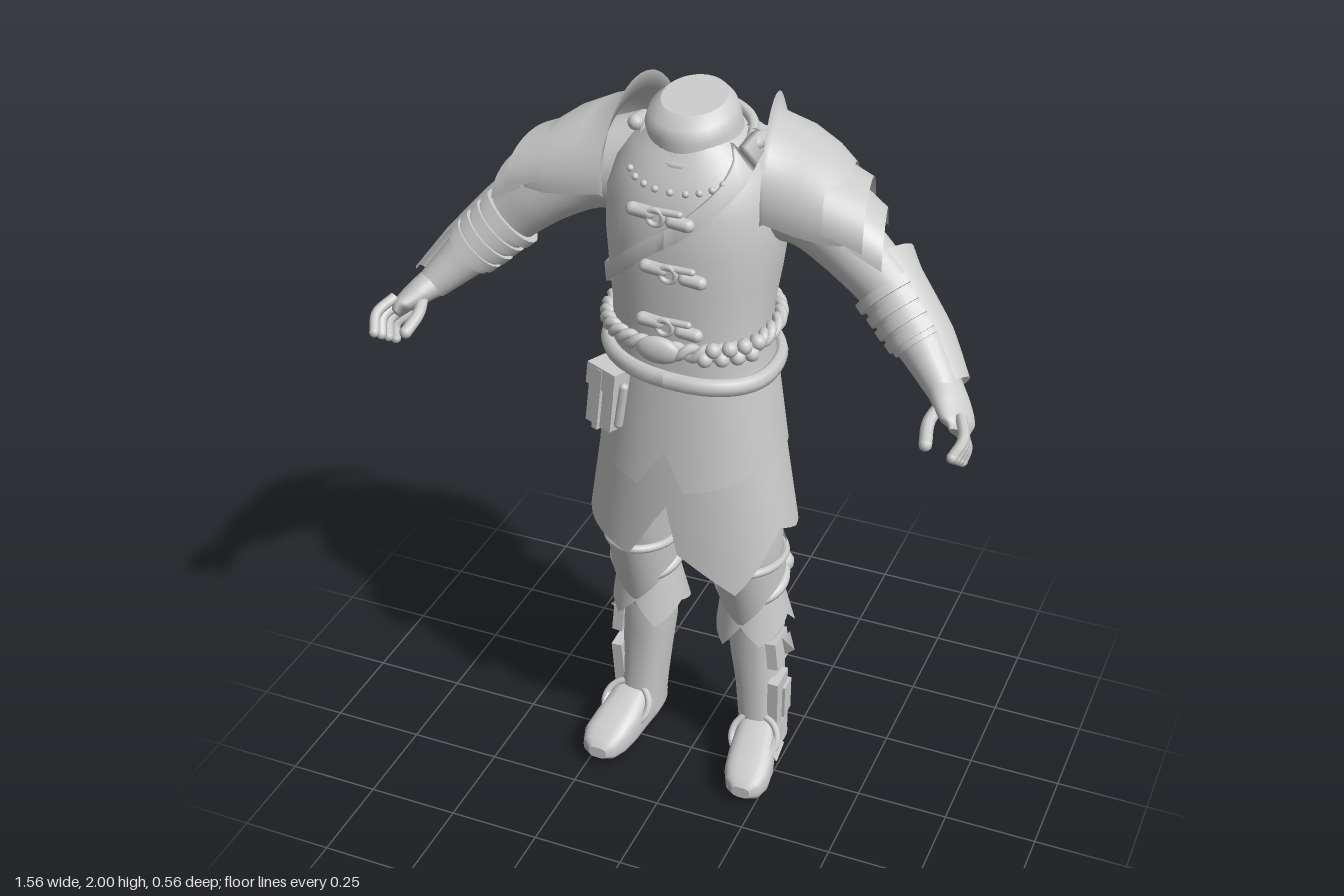
import * as THREE from 'three';

const V = (x, y, z) => new THREE.Vector3(x, y, z);
const { lerp } = THREE.MathUtils;
const grey = new THREE.MeshStandardMaterial({ color: 0xcbcbcb, side: THREE.DoubleSide });
grey.name = 'plain grey';

function add(parent, name, geo, x = 0, y = 0, z = 0, rx = 0, ry = 0, rz = 0) {
  const m = new THREE.Mesh(geo, grey);
  m.name = name;
  m.position.set(x, y, z);
  m.rotation.set(rx, ry, rz);
  parent.add(m);
  return m;
}

// Skin over a list of rings; closed rings wrap round, caps close both ends
function loft(rings, closed = true, caps = false) {
  const n = rings[0].length, pos = [], idx = [];
  rings.forEach(r => r.forEach(p => pos.push(p.x, p.y, p.z)));
  for (let i = 0; i < rings.length - 1; i++)
    for (let j = 0; j < (closed ? n : n - 1); j++) {
      const a = i * n + j, b = i * n + (j + 1) % n;
      idx.push(a, b, b + n, a, b + n, a + n);
    }
  if (caps) [0, rings.length - 1].forEach(k => {
    const base = pos.length / 3, c = V(0, 0, 0);
    rings[k].forEach(p => { c.add(p); pos.push(p.x, p.y, p.z); });
    c.divideScalar(n);
    pos.push(c.x, c.y, c.z);
    for (let j = 0; j < n; j++) {
      const a = base + j, b = base + (j + 1) % n;
      k ? idx.push(a, b, base + n) : idx.push(b, a, base + n);
    }
  });
  const g = new THREE.BufferGeometry();
  g.setAttribute('position', new THREE.Float32BufferAttribute(pos, 3));
  g.setIndex(idx);
  g.computeVertexNormals();
  return g;
}

const soft = (c, p) => Math.sign(c) * Math.abs(c) ** p;

// Horizontal ring: angle 0 faces the front, 90 degrees faces +x
const hoop = ([y, cx, cz, rx, rz], n = 40, p = 1, tilt = 0) => Array.from({ length: n }, (_, j) => {
  const a = j / n * Math.PI * 2, z = rz * soft(Math.cos(a), p);
  return V(cx + rx * soft(Math.sin(a), p), y + tilt * z, cz + z);
});

// Limb along a path of [x, y, z, r1, r2]; from/to (degrees) gives a part shell
function limb(keys, { from = 0, to = 360, n = 24, steps = 6, grow = 0 } = {}) {
  const curve = new THREE.CatmullRomCurve3(keys.map(k => V(k[0], k[1], k[2])));
  const whole = to - from === 360, total = (keys.length - 1) * steps, rings = [];
  for (let i = 0; i <= total; i++) {
    const k = Math.min(Math.floor(i / steps), keys.length - 2), f = i / steps - k;
    const c = curve.getPoint(i / total), t = curve.getTangent(i / total);
    const u = t.clone().cross(V(0, 0, 1)).normalize(), v = t.clone().cross(u);
    const r1 = lerp(keys[k][3], keys[k + 1][3], f) + grow, r2 = lerp(keys[k][4], keys[k + 1][4], f) + grow;
    rings.push(Array.from({ length: whole ? n : n + 1 }, (_, j) => {
      const a = (from + (to - from) * j / n) * Math.PI / 180;
      return c.clone().addScaledVector(u, r1 * Math.cos(a)).addScaledVector(v, r2 * Math.sin(a));
    }));
  }
  return loft(rings, whole, whole);
}

// Open cloth shell whose hem follows [degrees, y] keys
function cloth(top, low, hem, p = 0.9, rows = 5) {
  const n = 72, rings = [];
  const hemAt = d => {
    const k = Math.max(0, hem.findIndex((h, i) => i < hem.length - 1 && d <= hem[i + 1][0]));
    return lerp(hem[k][1], hem[k + 1][1], (d - hem[k][0]) / (hem[k + 1][0] - hem[k][0]));
  };
  for (let i = 0; i <= rows; i++) rings.push(Array.from({ length: n }, (_, j) => {
    const a = j / n * Math.PI * 2, y = lerp(hemAt(j * 5), top[0], i / rows);
    const f = (top[0] - y) / (top[0] - low[0]), m = top.map((t, q) => lerp(t, low[q], f));
    return V(m[1] + m[3] * soft(Math.sin(a), p), y, m[2] + m[4] * soft(Math.cos(a), p));
  }));
  return loft(rings);
}

const tube = (pts, r, closed = false, seg = 40) =>
  new THREE.TubeGeometry(new THREE.CatmullRomCurve3(pts, closed), seg, r, 8, closed);

// Torso rings: height, half width, front z, back z
const TORSO = [[1.27, .212, .16, -.195], [1.36, .203, .158, -.188], [1.45, .2, .158, -.192], [1.55, .212, .163, -.228],
  [1.65, .222, .163, -.248], [1.75, .22, .155, -.255], [1.82, .2, .125, -.248], [1.87, .16, .095, -.215], [1.905, .105, .07, -.15]];
function torsoRow(y) {
  const k = Math.min(Math.max(0, TORSO.findIndex((t, i) => i < TORSO.length - 1 && y <= TORSO[i + 1][0])), TORSO.length - 2);
  return TORSO[k].map((v, q) => lerp(v, TORSO[k + 1][q], (y - TORSO[k][0]) / (TORSO[k + 1][0] - TORSO[k][0])));
}
function onTorso(a, y, off) {
  const [, rx, f, b] = torsoRow(y);
  return V((rx + off) * soft(Math.sin(a), .88), y, (f + b) / 2 + ((f - b) / 2 + off) * soft(Math.cos(a), .88));
}
const around = (n, fn) => Array.from({ length: n }, (_, i) => fn(i / n * Math.PI * 2));

function buildBody(g) {
  add(g, 'torso', loft(TORSO.map(([y, rx, f, b]) => hoop([y, 0, (f + b) / 2, rx, (f - b) / 2], 48, .88)), true, true));
  add(g, 'neck', loft([[1.84, 0, -.05, .13, .13], [1.88, 0, -.04, .112, .122], [1.93, -.008, -.03, .115, .118],
    [1.96, -.008, -.03, .105, .108], [1.98, -.008, -.04, .08, .085]].map(h => hoop(h, 32, 1, -.2)), true, true));
  add(g, 'collar', tube(around(24, a => V(.13 * Math.sin(a), 1.885 - .03 * Math.cos(a), -.045 + .135 * Math.cos(a))), .014, true, 60));

  // Slit skirt in two tiers
  add(g, 'upperSkirt', cloth([1.33, 0, -.015, .208, .178], [1.0, 0, -.02, .25, .207],
    [[0, 1.11], [10, 1], [70, 1.06], [180, 1.045], [290, 1.05], [345, 1], [360, 1.11]]));
  add(g, 'lowerSkirt', cloth([1.12, 0, -.015, .232, .185], [.8, 0, -.02, .282, .195],
    [[0, .94], [5, .8], [35, .69], [65, .83], [75, .86], [95, .82], [175, .8], [180, 1], [185, .8], [290, .81], [340, .76], [360, .94]]));

  // Shoulder strap running round the chest and back
  const rings = around(72, a => {
    const y = 1.7 + .195 * Math.sin(a), e = .024;
    return [[-e, -.004], [-e, .012], [e, .012], [e, -.004]].map(([dy, off]) => onTorso(a, y + dy, off));
  });
  add(g, 'shoulderStrap', loft([...rings, rings[0]]));

  // Twisted rope belt and the lower sash
  [0, Math.PI].forEach(ph => add(g, 'ropeBelt', tube(around(144, a => {
    const w = a * 18 + ph;
    return onTorso(a, 1.415 - .012 * Math.cos(a) + .013 * Math.sin(w), .012 + .008 * Math.cos(w));
  }), .013, true, 288)));
  add(g, 'sash', loft(around(49, a => a * 49 / 48).map(a => {
    const c = onTorso(a, 1.325 - .022 * Math.sin(a) - .008 * Math.cos(a), .01);
    return around(8, b => V(c.x + .018 * Math.sin(a) * Math.cos(b), c.y + .025 * Math.sin(b), c.z + .018 * Math.cos(a) * Math.cos(b)));
  })));
  add(g, 'buckle', new THREE.SphereGeometry(1, 24, 16), -.015, 1.4, .175).scale.set(.058, .036, .022);
  for (let i = 0; i < 8; i++) {
    const p = onTorso(.42 + i * .1, 1.395 + (i % 2) * .025, .025);
    add(g, 'beltBead', new THREE.SphereGeometry(.02, 12, 8), p.x, p.y, p.z);
  }

  // Chest toggles
  [[1.755, -.012], [1.61, .02], [1.465, .01]].forEach(([y, x]) => {
    [-1, 1].forEach(s => add(g, 'toggleEnd', new THREE.CapsuleGeometry(.017, .04, 4, 10), x + s * .05, y - .008 * s, .165, 0, 0, Math.PI / 2 - .1));
    add(g, 'toggleBar', new THREE.CapsuleGeometry(.009, .1, 4, 8), x, y + .016, .168, 0, 0, Math.PI / 2);
    add(g, 'toggleLoop', new THREE.TorusGeometry(.02, .007, 8, 16), x - .01, y, .172);
  });
  for (let i = 0; i < 9; i++) {
    const p = onTorso((i - 4) * .15, 1.83 - .006 * (16 - (i - 4) ** 2) / 4, .003);
    add(g, 'neckStud', new THREE.SphereGeometry(.009, 8, 6), p.x, p.y, p.z);
  }

  // Belt pouch
  add(g, 'pouch', new THREE.BoxGeometry(.085, .15, .05), -.165, 1.22, .155, -.08, -.35, -.1);
  add(g, 'pouchFlap', new THREE.BoxGeometry(.095, .06, .062), -.158, 1.285, .155, -.08, -.35, -.1);
  add(g, 'pouchStrap', new THREE.BoxGeometry(.018, .17, .064), -.168, 1.225, .157, -.08, -.35, -.1);
  add(g, 'pouchCord', new THREE.CapsuleGeometry(.012, .11, 4, 8), -.115, 1.22, .18, 0, 0, -.15);
}

// Open arch over the shoulder, from front to back
function arch(sections, from = -8, to = 188) {
  return loft(sections.map(([x, cz, y, rz, ry]) => Array.from({ length: 29 }, (_, j) => {
    const b = (from + (to - from) * j / 28) * Math.PI / 180;
    return V(x + .03 * Math.cos(b), y + ry * Math.sin(b), cz + rz * Math.cos(b));
  })), false);
}

const ARM = [[.15, 1.76, -.09, .13, .12], [.29, 1.735, -.06, .105, .1], [.4, 1.665, -.03, .082, .08], [.5, 1.58, -.015, .072, .068],
  [.6, 1.48, .03, .062, .066], [.68, 1.4, .085, .042, .05]];
const FORE = ARM.slice(3);

function buildArm(g) {
  add(g, 'arm', limb(ARM));
  add(g, 'shoulderGuard', arch([[.172, -.1, 1.76, .175, .225], [.182, -.1, 1.76, .178, .175], [.26, -.1, 1.745, .182, .165],
    [.33, -.085, 1.735, .168, .145], [.38, -.07, 1.735, .15, .11]]));
  add(g, 'shoulderLame', arch([[.33, -.06, 1.748, .15, .118], [.43, -.055, 1.712, .142, .112]], 0, 180));
  add(g, 'lowerLame', arch([[.39, -.05, 1.705, .13, .115], [.475, -.045, 1.66, .118, .1]], 5, 175));
  add(g, 'shoulderKnob', new THREE.CapsuleGeometry(.02, .05, 4, 12), .153, 1.89, -.045, 1.4, 0, 0);

  // Forearm wraps and guard
  add(g, 'bracer', limb(FORE.slice(0, 2), { grow: .007 }));
  [[.02, .018], [.3, .015], [.55, .016], [.8, .014]].forEach(([f, grow]) => {
    const at = q => FORE[0].map((v, k) => lerp(v, FORE[1][k], q));
    add(g, 'bracerBand', limb([at(f - .07), at(f), at(f + .1)], { grow, steps: 3 }));
  });
  add(g, 'forearmGuard', limb([[.455, 1.62, -.04, .075, .1], ...FORE], { from: 65, to: 205, grow: .02 }));
  add(g, 'guardKnot', new THREE.SphereGeometry(.026, 12, 8), .555, 1.6, -.03);

  // Hand with thumb and four fingers
  add(g, 'palm', limb([[.67, 1.41, .075, .042, .048], [.705, 1.385, .115, .034, .055], [.735, 1.36, .155, .024, .056], [.745, 1.345, .175, .012, .04]]));
  for (let i = 0; i < 4; i++) {
    const f = i / 3, base = V(.745, 1.39, .17).lerp(V(.725, 1.325, .12), f), tip = V(.755, 1.335, .265).lerp(V(.755, 1.265, .165), f);
    const mid = base.clone().lerp(tip, .55).add(V(.018, .006, .004));
    add(g, 'finger', tube([base, mid, tip], .0135, false, 12));
    add(g, 'fingerTip', new THREE.SphereGeometry(.0135, 10, 8), tip.x, tip.y, tip.z);
  }
  add(g, 'thumb', tube([V(.69, 1.39, .12), V(.672, 1.365, .18), V(.682, 1.335, .235)], .016, false, 12));
  add(g, 'thumbTip', new THREE.SphereGeometry(.016, 10, 8), .682, 1.335, .235);
}

function buildLeg(g) {
  add(g, 'thigh', loft([[.42, .157, -.085, .065, .08], [.52, .155, -.07, .074, .08], [.6, .152, -.055, .082, .085],
    [.7, .15, -.035, .086, .115], [.8, .145, -.03, .092, .13], [1.0, .12, -.02, .1, .14]].map(h => hoop(h, 28)), true, true));
  add(g, 'bootShaft', loft([[.05, .187, -.085, .062, .075], [.15, .178, -.085, .062, .08], [.25, .17, -.09, .065, .077],
    [.36, .16, -.088, .07, .084], [.47, .157, -.085, .073, .086]].map(h => hoop(h, 28, .85)), true, true));

  // Foot: cross-sections from heel to toe of [z, centre x, half width, bottom, top]
  add(g, 'foot', loft([[-.162, .185, .035, .01, .1], [-.145, .185, .05, 0, .14], [-.08, .187, .058, 0, .17], [0, .193, .06, .008, .155],
    [.06, .203, .066, .012, .125], [.12, .212, .064, .015, .105], [.155, .215, .05, .02, .085], [.172, .215, .026, .03, .065]]
    .map(([z, cx, w, b, t]) => around(24, a => V(cx + w * soft(Math.cos(a), .65), (b + t) / 2 + (t - b) / 2 * soft(Math.sin(a), .65), z))), true, true));

  // Flared cuff, pointed knee guard and strap
  add(g, 'bootCuff', cloth([.6, .152, -.06, .08, .083], [.43, .155, -.082, .108, .122],
    [[0, .5], [30, .44], [60, .47], [90, .5], [120, .43], [240, .43], [280, .47], [330, .42], [360, .5]], 1));
  add(g, 'kneeGuard', cloth([.72, .15, -.035, .094, .135], [.5, .155, -.06, .086, .09],
    [[0, .5], [60, .61], [90, .64], [180, .66], [270, .63], [310, .58], [360, .5]], 1));
  add(g, 'kneeBand', tube(hoop([.705, .15, -.035, .092, .13], 24, 1, .12), .012, true, 48));
  add(g, 'kneeStrap', tube(hoop([.615, .152, -.055, .088, .088], 24, 1, -.3), .016, true, 48));
  add(g, 'strapKnot', new THREE.SphereGeometry(.032, 12, 10), .215, .635, -.12);

  // Outer shin fittings
  add(g, 'shinBuckle', new THREE.BoxGeometry(.03, .085, .09), .228, .385, -.06, 0, 0, .1);
  add(g, 'shinStud', new THREE.ConeGeometry(.035, .06, 4), .24, .39, -.1, -1.4, 0, 0);
  add(g, 'shinPlate', new THREE.BoxGeometry(.03, .16, .08), .232, .215, -.06, .08, 0, -.03);
  add(g, 'shinPlateCover', new THREE.BoxGeometry(.025, .11, .05), .242, .2, -.085, .08, 0, -.03);
  add(g, 'ankleStrap', tube(around(20, a => V(.194 + .066 * Math.sin(a), .115 + .05 * Math.cos(a), .015 - .04 * Math.cos(a))), .01, true, 40));
  add(g, 'ankleBuckle', new THREE.BoxGeometry(.03, .045, .06), .25, .1, .02, .4, 0, .4);
}

export function createModel() {
  const model = new THREE.Group();
  model.name = 'armouredOutfit';
  const part = (name, build, side = 1) => {
    const g = new THREE.Group();
    g.name = name;
    build(g);
    g.scale.x = side;
    model.add(g);
  };
  part('body', buildBody);
  part('leftArm', buildArm);
  part('rightArm', buildArm, -1);
  part('leftLeg', buildLeg);
  part('rightLeg', buildLeg, -1);
  return model;
}
